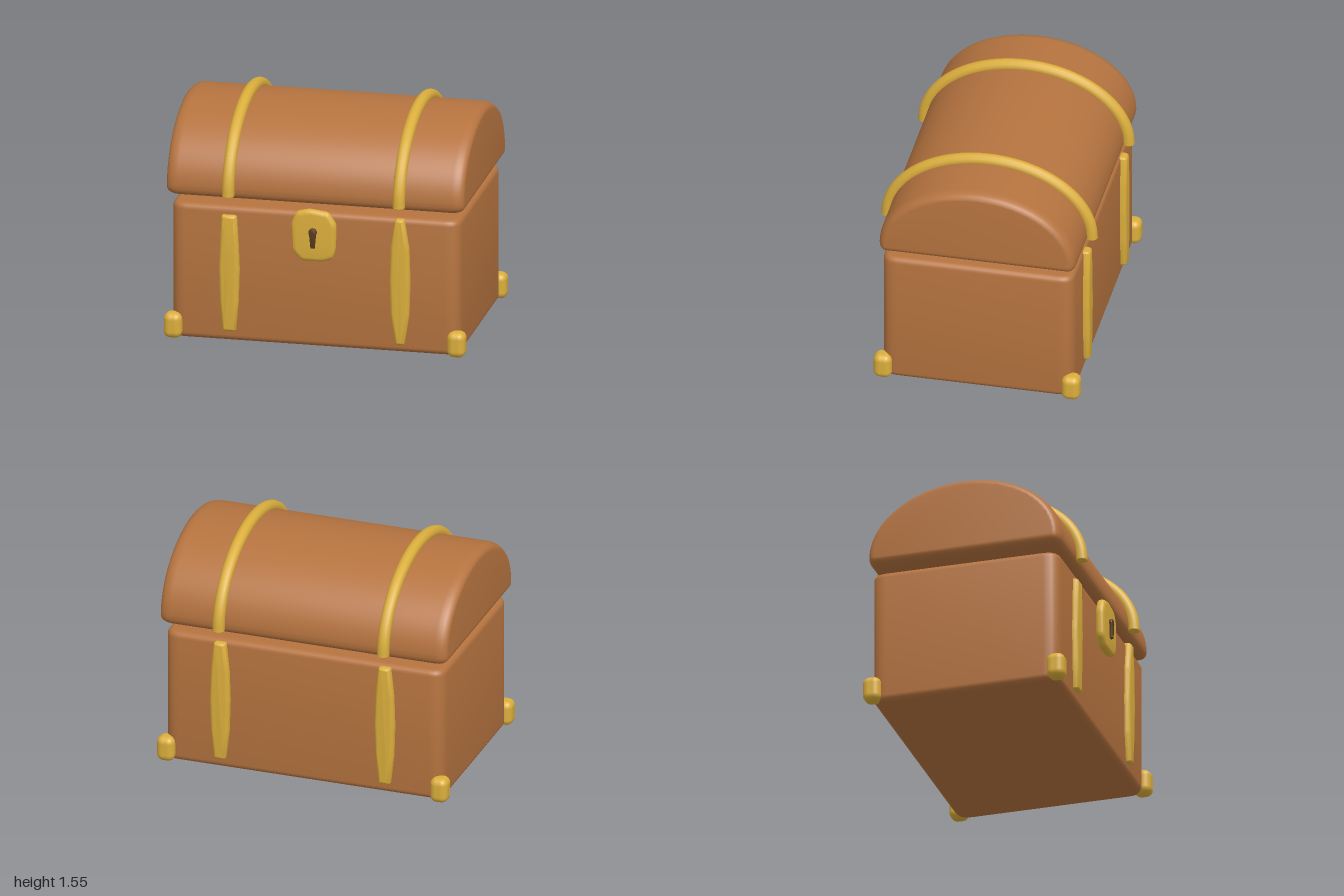
import * as THREE from 'three';
import { toCreasedNormals } from 'three/addons/utils/BufferGeometryUtils.js';
import { RoundedBoxGeometry } from 'three/addons/geometries/RoundedBoxGeometry.js';

const material = (name, color) => {
  const m = new THREE.MeshStandardMaterial({ color });
  m.name = name;
  return m;
};

// Outline with rounded corners from a list of [x, y] points
function roundedOutline(points, r) {
  const shape = new THREE.Shape();
  const v = points.map(([x, y]) => new THREE.Vector2(x, y));
  v.forEach((p, i) => {
    const a = v[(i + v.length - 1) % v.length], b = v[(i + 1) % v.length];
    const s = p.clone().add(a.clone().sub(p).setLength(r));
    const e = p.clone().add(b.clone().sub(p).setLength(r));
    if (i === 0) shape.moveTo(s.x, s.y); else shape.lineTo(s.x, s.y);
    shape.quadraticCurveTo(p.x, p.y, e.x, e.y);
  });
  shape.closePath();
  return shape;
}

// Solid of a total depth, centred on z = 0, whose bevel stays inside the outline
function bevelled(shape, depth, thickness, size, curveSegments = 6) {
  const g = new THREE.ExtrudeGeometry(shape, {
    depth: depth - 2 * thickness, bevelEnabled: true, bevelThickness: thickness,
    bevelSize: size, bevelOffset: -size, bevelSegments: 5, curveSegments,
  });
  g.translate(0, 0, thickness - depth / 2);
  return toCreasedNormals(g, 0.7);
}

export function createModel() {
  const model = new THREE.Group();
  model.name = 'treasureChest';
  const wood = material('brown wood', 0xb5733f);
  const gold = material('gold metal', 0xdbae3c);
  const dark = material('dark keyhole', 0x5c3a1e);

  const add = (name, geometry, mat, x = 0, y = 0, z = 0) => {
    const mesh = new THREE.Mesh(geometry, mat);
    mesh.name = name;
    mesh.position.set(x, y, z);
    model.add(mesh);
    return mesh;
  };

  // Chest body with rounded upright corners
  const plan = roundedOutline([[-0.955, -0.632], [0.955, -0.632], [0.955, 0.632], [-0.955, 0.632]], 0.1);
  const bodyGeometry = bevelled(plan, 0.915, 0.04, 0.04);
  bodyGeometry.rotateX(-Math.PI / 2);
  add('body', bodyGeometry, wood, 0, 0.465, 0);

  // Domed lid, extruded from end to end
  const dome = new THREE.Shape();
  dome.moveTo(-0.6, 0.975);
  dome.lineTo(0.6, 0.975);
  dome.quadraticCurveTo(0.645, 0.98, 0.65, 1.03);
  dome.absellipse(0, 1.03, 0.65, 0.472, 0, Math.PI, false, 0);
  dome.quadraticCurveTo(-0.645, 0.98, -0.6, 0.975);
  const lidGeometry = bevelled(dome, 1.97, 0.08, 0.045, 32);
  lidGeometry.rotateY(Math.PI / 2);
  add('lid', lidGeometry, wood);

  // Arched bands over the lid
  const arc = [];
  for (let i = 0; i <= 24; i++) {
    const t = (i / 24) * Math.PI;
    arc.push(new THREE.Vector3(0, 1.01 + 0.504 * Math.sin(t), 0.675 * Math.cos(t)));
  }
  const bandGeometry = new THREE.TubeGeometry(new THREE.CatmullRomCurve3(arc), 64, 0.041, 12);
  const bandEnd = new THREE.SphereGeometry(0.041, 12, 8);
  bandEnd.scale(1, 0.25, 1);
  for (const side of [-1, 1]) {
    add('lidBand', bandGeometry, gold, side * 0.565);
    for (const s of [-1, 1]) add('lidBandEnd', bandEnd, gold, side * 0.565, 1.01, s * 0.675);
  }

  // Tapered straps on the front and back of the body
  const strap = (x, z, bottom, top, bottomHalf, topHalf) => {
    const outline = roundedOutline([
      [-bottomHalf, bottom], [bottomHalf, bottom], [0.062, bottom + 0.2], [0.069, 0.5], [0.062, top - 0.2],
      [topHalf, top], [-topHalf, top], [-0.062, top - 0.2], [-0.069, 0.5], [-0.062, bottom + 0.2],
    ], 0.015);
    add('strap', bevelled(outline, 0.07, 0.03, 0.025), gold, x, 0, z);
  };
  strap(-0.565, 0.633, 0.08, 0.868, 0.045, 0.05);
  strap(0.565, 0.633, 0.065, 0.92, 0.03, 0.03);
  strap(-0.565, -0.638, 0.08, 0.91, 0.04, 0.04);
  strap(0.565, -0.638, 0.08, 0.91, 0.04, 0.04);

  // Corner feet
  const footGeometry = new RoundedBoxGeometry(0.12, 0.17, 0.12, 4, 0.045);
  for (const x of [-0.938, 0.938])
    for (const z of [-0.622, 0.622]) add('cornerFoot', footGeometry, gold, x, 0.092, z);

  // Lock plate
  const plate = roundedOutline([
    [-0.115, 0.935], [-0.03, 0.956], [0.1, 0.94], [0.15, 0.86], [0.146, 0.69], [0.13, 0.63],
    [0.06, 0.605], [-0.08, 0.605], [-0.14, 0.67], [-0.15, 0.85],
  ], 0.025);
  add('lockPlate', bevelled(plate, 0.06, 0.025, 0.03), gold, 0, 0, 0.663);

  // Keyhole: round top with a tapering slot below
  const hole = new THREE.Shape();
  hole.moveTo(-0.013, 0.7);
  hole.lineTo(0.013, 0.7);
  hole.lineTo(0.022, 0.79);
  hole.absarc(0, 0.808, 0.027, -0.6, Math.PI + 0.6, false);
  hole.closePath();
  add('keyhole', bevelled(hole, 0.035, 0.008, 0.005), dark, 0, 0, 0.695);

  return model;
}
